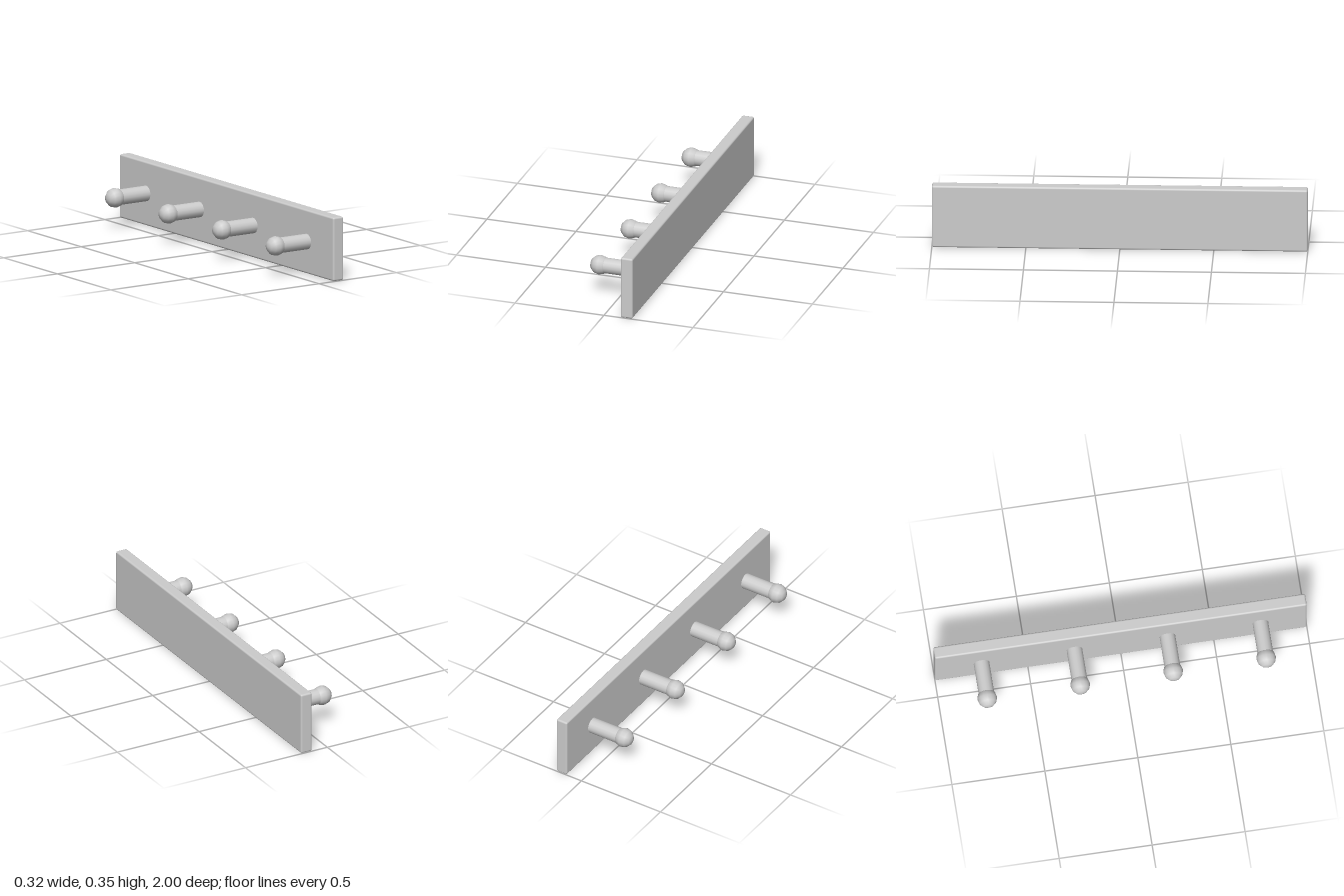
import * as THREE from 'three';
import { RoundedBoxGeometry } from 'three/addons/geometries/RoundedBoxGeometry.js';

export function createModel() {
  const group = new THREE.Group();
  group.name = 'pegRack';
  const paint = new THREE.MeshStandardMaterial({ color: 0xcccccc });
  paint.name = 'light grey';

  const add = (name, geometry, parent) => {
    const mesh = new THREE.Mesh(geometry, paint);
    mesh.name = name;
    parent.add(mesh);
    return mesh;
  };

  // Long backing board with softened edges
  const height = 0.346, thickness = 0.067, boardX = 0.1265;
  add('board', new RoundedBoxGeometry(thickness, height, 2, 2, 0.01), group)
    .position.set(boardX, height / 2, 0);

  // Peg shaft and ball end, both turned about the x axis
  const ballX = -0.108, boardFace = boardX - thickness / 2;
  const length = boardFace + 0.01 - ballX;
  const shaft = new THREE.CylinderGeometry(0.042, 0.042, length, 16).rotateZ(Math.PI / 2);
  const ball = new THREE.SphereGeometry(0.053, 16, 6).rotateZ(Math.PI / 2);

  // Four evenly spaced pegs
  [-0.75, -0.25, 0.25, 0.75].forEach((z, i) => {
    const peg = new THREE.Group();
    peg.name = 'peg' + (i + 1);
    peg.position.set(ballX, 0.175, z);
    add('pegShaft', shaft, peg).position.x = length / 2;
    add('pegBall', ball, peg);
    group.add(peg);
  });

  return group;
}
